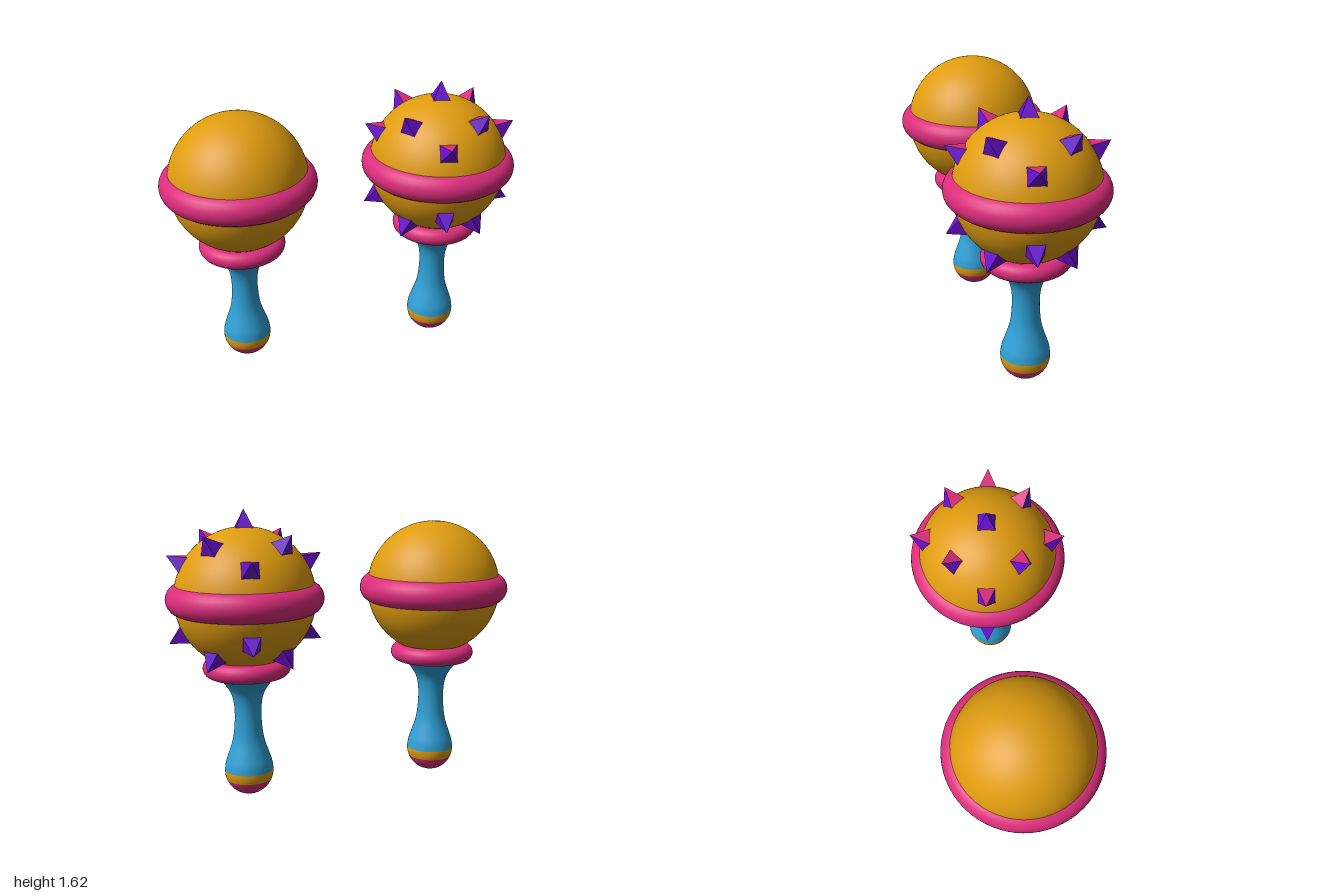
import * as THREE from 'three';

const mat = (name, color) => {
  const m = new THREE.MeshStandardMaterial({ color });
  m.name = name;
  return m;
};
const gold = mat('gold', 0xdf9c10);
const pink = mat('pink', 0xdc2d7c);
const blue = mat('blue', 0x2fa0d6);
const purple = mat('purple', 0x6a0fd0);

const HEAD_Y = 1.13, HEAD_R = 0.39, BUTT_R = 0.138;

function add(parent, name, geometry, material, y = 0) {
  const mesh = new THREE.Mesh(geometry, material);
  mesh.name = name;
  mesh.position.y = y;
  parent.add(mesh);
  return mesh;
}

const lathe = (points) => new THREE.LatheGeometry(points, 48);
const ring = (outer, tube) => new THREE.TorusGeometry(outer - tube, tube, 24, 64).rotateX(Math.PI / 2);

// Points on the round butt of the handle between two heights
function buttArc(y0, y1, n) {
  const angle = (y) => Math.asin(Math.max(-1, (y - BUTT_R) / BUTT_R));
  return Array.from({ length: n + 1 }, (_, i) => {
    const a = THREE.MathUtils.lerp(angle(y0), angle(y1), i / n);
    return new THREE.Vector2(BUTT_R * Math.cos(a), BUTT_R * (1 + Math.sin(a)));
  });
}

function createMaraca(name, x, z) {
  const maraca = new THREE.Group();
  maraca.name = name;
  maraca.position.set(x, 0, z);

  // Head with its equator ring and the collar below it
  add(maraca, 'head', new THREE.SphereGeometry(HEAD_R, 64, 40), gold, HEAD_Y);
  add(maraca, 'equatorRing', ring(0.435, 0.085), pink, HEAD_Y);
  add(maraca, 'collar', ring(0.245, 0.05), pink, 0.74);

  // Waisted handle, flaring out at both ends
  const profile = new THREE.SplineCurve([
    [0.138, 0.145], [0.131, 0.19], [0.113, 0.245], [0.087, 0.33], [0.076, 0.43],
    [0.077, 0.52], [0.092, 0.59], [0.125, 0.645], [0.16, 0.69], [0.175, 0.72],
  ].map(([r, y]) => new THREE.Vector2(r, y)));
  add(maraca, 'handle', lathe(profile.getPoints(36)), blue);

  // Band and rounded end of the handle
  add(maraca, 'handleBand', lathe(buttArc(0.09, 0.145, 6)), gold);
  add(maraca, 'handleEnd', lathe(buttArc(0, 0.09, 14)), pink);
  return maraca;
}

// Four-sided spike along +y, its base sunk into the head
function spikeGeometry() {
  const base = 0.365, tip = 0.485;
  const g = new THREE.ConeGeometry(0.056 * Math.SQRT2, tip - base, 4, 1, true)
    .rotateY(Math.PI / 4)
    .translate(0, (base + tip) / 2, 0)
    .toNonIndexed();
  g.computeVertexNormals();
  // One face (the uppermost once tilted) takes the second material
  g.clearGroups();
  g.addGroup(0, 3, 0);
  g.addGroup(3, 3, 1);
  g.addGroup(6, 6, 0);
  return g;
}

function addSpikes(maraca) {
  const geometry = spikeGeometry();
  const spikes = new THREE.Group();
  spikes.name = 'spikes';
  spikes.position.y = HEAD_Y;
  maraca.add(spikes);

  const addSpike = (elevation, azimuth, material) => {
    const spike = add(spikes, 'spike', geometry, material);
    spike.rotation.set(Math.PI / 2 - elevation, azimuth, 0, 'YXZ');
  };
  addSpike(Math.PI / 2, 0, [purple, purple]);

  // Eight spikes above and eight below, the diagonal ones nearer the poles
  for (let i = 0; i < 8; i++) {
    const elevation = THREE.MathUtils.degToRad(i % 2 ? 48 : 30);
    const azimuth = i * Math.PI / 4;
    addSpike(elevation, azimuth, [purple, pink]);
    addSpike(-elevation, azimuth, [purple, purple]);
  }
}

export function createModel() {
  const model = new THREE.Group();
  model.name = 'maracas';
  const plain = createMaraca('plainMaraca', -0.565, 0.1);
  const spiked = createMaraca('spikedMaraca', 0.565, -0.1);
  addSpikes(spiked);
  model.add(plain, spiked);
  return model;
}
